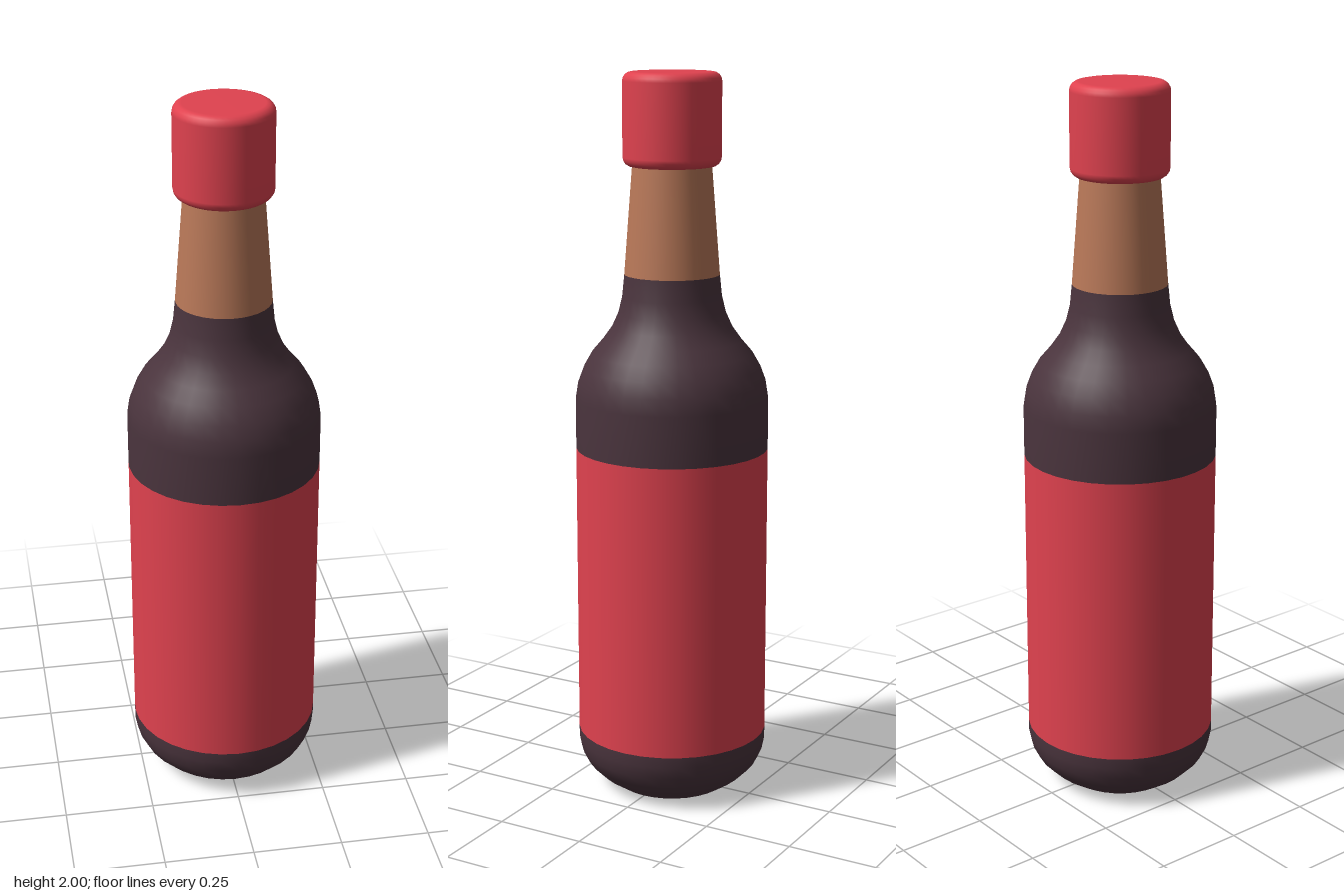
import * as THREE from 'three';

const material = (name, color) => {
  const m = new THREE.MeshStandardMaterial({ color });
  m.name = name;
  return m;
};

export function createModel() {
  const group = new THREE.Group();
  group.name = 'bottle';
  const glass = material('dark glass', 0x4a343d);
  const red = material('red', 0xe0424f);
  const paper = material('brown neck', 0xba7959);

  // Turned part from a bottom-to-top profile of [radius, height]
  const turn = (name, profile, mat, sides = 32) => {
    const points = profile.map(([r, y]) => new THREE.Vector2(r, y));
    const mesh = new THREE.Mesh(new THREE.LatheGeometry(points, sides), mat);
    mesh.name = name;
    group.add(mesh);
    return mesh;
  };

  // Flat underside
  const base = new THREE.Mesh(new THREE.CircleGeometry(0.16, 32).rotateX(Math.PI / 2), glass);
  base.name = 'base';
  group.add(base);

  // Body, label and shoulder
  turn('lowerBody', [[0.16, 0], [0.205, 0.03], [0.24, 0.065], [0.258, 0.1], [0.265, 0.135], [0.265, 0.165]], glass);
  turn('label', [[0.265, 0.165], [0.265, 0.98]], red);
  turn('shoulder', [
    [0.265, 0.98], [0.265, 1.12], [0.258, 1.165], [0.243, 1.205], [0.22, 1.245], [0.19, 1.28],
    [0.165, 1.315], [0.147, 1.355], [0.136, 1.4], [0.13, 1.46],
  ], glass);

  // Neck wrap
  turn('neck', [[0.13, 1.46], [0.107, 1.76]], paper);

  // Cap with rounded rims
  const R = 0.133, b = 0.025, cap = [[0, 1.75]];
  for (let i = 0; i <= 4; i++) {
    const a = (i / 4) * Math.PI / 2;
    cap.push([R - b + b * Math.sin(a), 1.75 + b - b * Math.cos(a)]);
  }
  for (let i = 0; i <= 4; i++) {
    const a = (i / 4) * Math.PI / 2;
    cap.push([R - b + b * Math.cos(a), 2 - b + b * Math.sin(a)]);
  }
  cap.push([0, 2]);
  turn('cap', cap, red, 48);

  return group;
}
